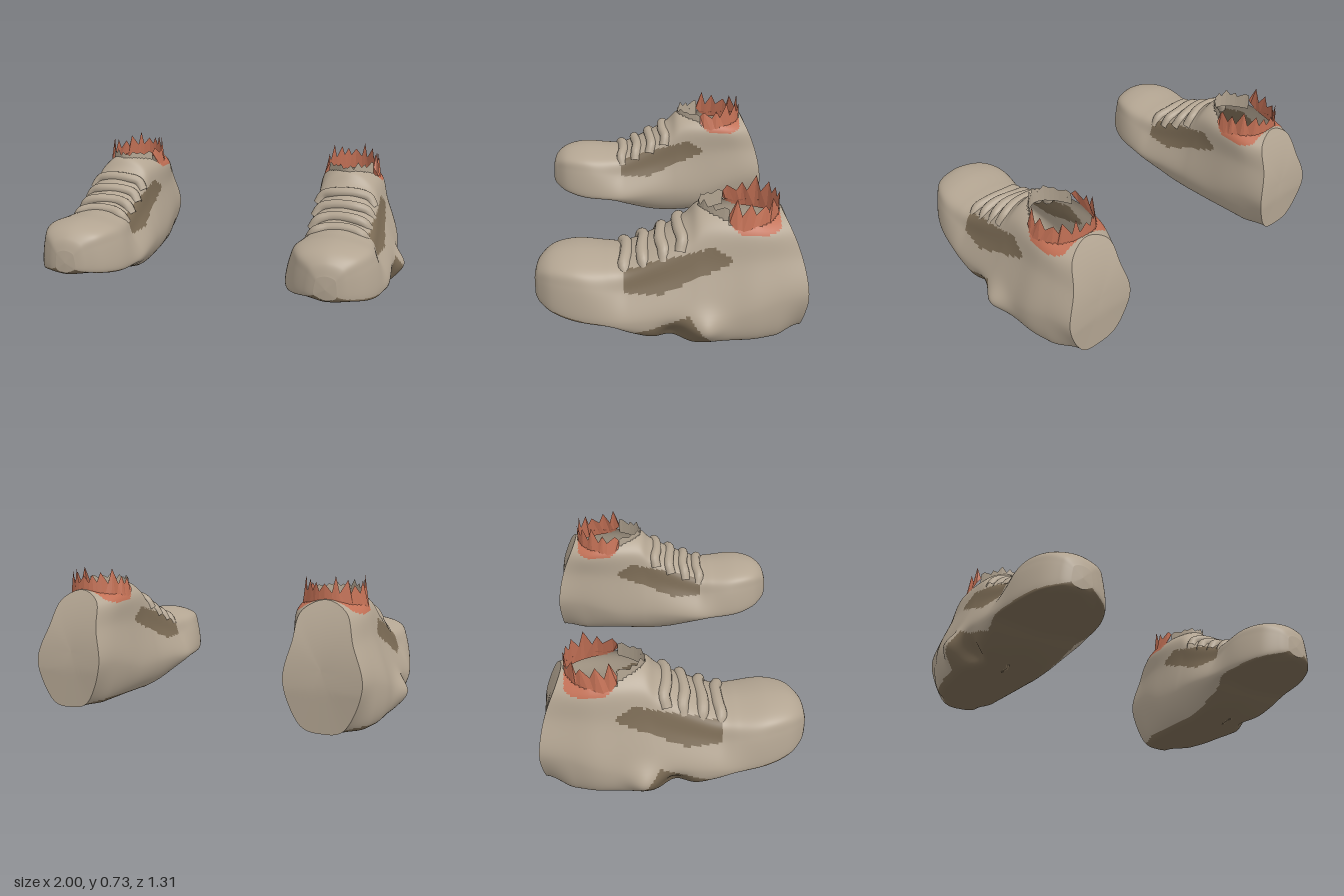
import * as THREE from 'three';

const { lerp, smoothstep } = THREE.MathUtils;

const paint = (name, color) => {
  const m = new THREE.MeshStandardMaterial({ color, side: THREE.DoubleSide });
  m.name = name;
  return m;
};

// Cross-sections from toe to heel:
// z, bottom, top, inner x, outer x, top inner x, top outer x, height of widest point
const SECTIONS = [
  [0.649, 0.19, 0.31, 0.62, 0.73, 0.635, 0.715, 0.22],
  [0.625, 0.175, 0.37, 0.57, 0.78, 0.6, 0.75, 0.21],
  [0.56, 0.16, 0.415, 0.495, 0.85, 0.54, 0.8, 0.19],
  [0.45, 0.14, 0.43, 0.445, 0.9, 0.51, 0.835, 0.17],
  [0.3, 0.12, 0.42, 0.425, 0.93, 0.515, 0.835, 0.16],
  [0.2, 0.075, 0.425, 0.42, 0.94, 0.525, 0.83, 0.16],
  [0.05, 0.03, 0.497, 0.43, 0.945, 0.53, 0.825, 0.17],
  [-0.08, 0.01, 0.58, 0.445, 0.95, 0.53, 0.815, 0.17],
  [-0.15, 0.01, 0.645, 0.45, 0.95, 0.53, 0.805, 0.17],
  [-0.28, 0.01, 0.66, 0.46, 0.945, 0.515, 0.815, 0.17],
  [-0.4, 0.01, 0.65, 0.47, 0.94, 0.51, 0.82, 0.2],
  [-0.52, 0.01, 0.63, 0.485, 0.91, 0.52, 0.81, 0.23],
  [-0.655, 0.003, 0.62, 0.5, 0.88, 0.56, 0.78, 0.24],
];
const STEPS = 16, AROUND = 130, MID = 0.665;

// Smooth interpolation between sections
function sectionAt(u) {
  const last = SECTIONS.length - 1, i = Math.min(Math.floor(u), last - 1), t = u - i;
  const row = k => SECTIONS[Math.max(0, Math.min(last, k))];
  return row(i).map((p1, c) => {
    const p0 = row(i - 1)[c], p2 = row(i + 1)[c], p3 = row(i + 2)[c];
    return p1 + 0.5 * t * (p2 - p0 + t * (2 * p0 - 5 * p1 + 4 * p2 - p3 + t * (3 * (p1 - p2) + p3 - p0)));
  });
}

// Slanted outline of the heel back
const heelZ = y => y < 0.2 ? -0.645 - 0.075 * y : -0.66 + 0.12 * ((y - 0.2) / 0.42) ** 2;

// Lower edge of the lining band around the back of the collar
const bandY = z => Math.min(0.61, 0.55 + 170 * (z + 0.415) ** 4);

const bump = (v, centre, width) => Math.exp(-(((v - centre) / width) ** 2));

function ring([z, b, t, xi, xo, ti, to, m]) {
  const c = (xi + xo) / 2, top = (ti + to) / 2;
  // Full, domed toe; straighter sides behind; rounded heel base
  const toe = smoothstep(z, 0.2, 0.42), heel = smoothstep(-z, 0.5, 0.655);
  const half = (x, tx, edge, lift) => [
    [lerp(c, x, lerp(edge, 0.6, heel)), b + lift + 0.025 * heel], [x, m],
    [lerp(x, tx, 0.57 - 0.27 * toe), lerp(m, t, 0.5 + 0.08 * toe)], [tx, lerp(t, m, 0.15 - 0.02 * toe)],
  ];
  const pts = [[c, b], ...half(xo, to, 0.82, 0.01), [top, t], ...half(xi, ti, 0.68, 0.015).reverse()];
  const curve = new THREE.CatmullRomCurve3(pts.map(([x, y]) => new THREE.Vector3(x, y, z)), true, 'catmullrom', 0.5);
  return Array.from({ length: AROUND }, (_, j) => {
    const p = curve.getPoint(j / AROUND);
    // Torn flap on the outer side of the sole
    if (p.x > 0.75) {
      p.x += 0.047 * bump(p.z, -0.16, 0.075) * bump(p.y, 0.13, 0.07);
      p.x -= 0.07 * bump(p.z, -0.01, 0.07) * bump(p.y, 0.06, 0.07);
    }
    if (p.z < -0.4) p.z = -0.4 + (p.z + 0.4) * (-0.4 - heelZ(p.y)) / 0.255;
    return p;
  });
}

// Skin over rings; pick(centre, row) gives a material slot, or -1 for a hole
function skin(rows, side, pick) {
  const positions = [], slots = [[], [], []];
  rows.forEach(r => r.forEach(p => positions.push(p.x * side, p.y, p.z)));
  for (let i = 0; i < rows.length - 1; i++) {
    for (let j = 0; j < AROUND; j++) {
      const k = (j + 1) % AROUND;
      const centre = rows[i][j].clone().add(rows[i + 1][k]).multiplyScalar(0.5);
      const slot = pick(centre, i);
      if (slot < 0) continue;
      const a = i * AROUND + j, b = i * AROUND + k, c = a + AROUND, d = b + AROUND;
      slots[slot].push(...(side > 0 ? [a, c, b, b, c, d] : [a, b, c, b, d, c]));
    }
  }
  const g = new THREE.BufferGeometry();
  g.setAttribute('position', new THREE.Float32BufferAttribute(positions, 3));
  g.setIndex(slots.flat());
  let start = 0;
  slots.forEach((s, n) => {
    if (s.length) g.addGroup(start, s.length, n);
    start += s.length;
  });
  g.computeVertexNormals();
  return g;
}

// Outline of the foot opening, narrower at the tongue
function opening(a, widen) {
  const narrow = 1 - 0.3 * Math.max(0, Math.cos(a));
  return [MID + 0.147 * widen * Math.sin(a) * narrow, -0.335 + 0.195 * Math.cos(a)];
}

function insideOpening(p) {
  const c = (p.z + 0.335) / 0.195;
  if (Math.abs(c) >= 1 || p.y < 0.4) return false;
  const widen = p.z < -0.27 ? 1.08 : 1;
  return Math.abs(p.x - MID) < 0.147 * widen * Math.sqrt(1 - c * c) * (1 - 0.3 * Math.max(0, c));
}

function isSidePatch({ x, y, z }) {
  if (Math.abs(x - 0.675) < 0.15 || z > 0.22 || z < -0.285) return false;
  const low = 0.288 + 0.42 * Math.max(0, 0.05 - z);
  const high = z > -0.2 ? 0.395 + 0.25 * (0.22 - z) : 0.5 + 0.6 * (z + 0.2);
  return y > low && y < high;
}

// Ragged strip around the opening from angle a0 to a1, leaning in from a wider foot
function raggedRim({ a0, a1, teeth, valley, peak, drop, foot, lean, seed }, side) {
  const rand = () => (seed = (seed * 16807) % 2147483647) / 2147483647;
  const pos = [], n = teeth * 2;
  let prev = null;
  for (let i = 0; i <= n; i++) {
    const shift = i > 0 && i < n ? (rand() - 0.5) * 0.7 : 0;
    const a = a0 + (a1 - a0) * (i + shift) / n;
    const [bx, bz] = opening(a, lean), [x, z] = opening(a, 0.97);
    const y = i % 2 ? peak - drop * rand() : valley + 0.02 * rand();
    const now = [[bx * side, foot(bz), bz], [x * side, y, z]];
    if (prev) pos.push(...prev[0], ...now[0], ...now[1], ...prev[0], ...now[1], ...prev[1]);
    prev = now;
  }
  const g = new THREE.BufferGeometry();
  g.setAttribute('position', new THREE.Float32BufferAttribute(pos, 3));
  g.computeVertexNormals();
  return g;
}

const TONGUE = { a0: -1.25, a1: 1.25, teeth: 8, valley: 0.65, peak: 0.69, drop: 0.03, foot: () => 0.58, lean: 1, seed: 17 };
const LINING = { a0: 1.25, a1: Math.PI * 2 - 1.25, teeth: 11, valley: 0.64, peak: 0.735, drop: 0.06, foot: bandY, lean: 1.14, seed: 9173 };

export function createModel() {
  const leather = paint('taupe leather', 0xb3a592);
  const brown = paint('dark brown', 0x7a6a54);
  const red = paint('rust lining', 0xc27055);
  const model = new THREE.Group();
  model.name = 'pairOfShoes';

  // Shared rings, closed at the toe tip
  const count = (SECTIONS.length - 1) * STEPS;
  const sections = Array.from({ length: count + 1 }, (_, i) => sectionAt(i / STEPS));
  const rows = sections.map(ring);
  rows.unshift(rows[0].map(() => new THREE.Vector3(0.675, 0.245, 0.654)));

  const pickUpper = (p, i) => {
    if (insideOpening(p)) return -1;
    const b = sections[Math.max(0, i - 1)][1], d = p.z + 0.08;
    const flap = p.x > 0.75 ? Math.max(0, 0.165 - (d > 0 ? 0.6 * d : -1.3 * d)) : 0;
    if (p.y < b + 0.022 + (p.z < 0.2 ? flap : 0) || isSidePatch(p)) return 1;
    if (p.z < -0.28 && p.z > -0.525 && p.y > bandY(p.z)) return 2;
    return 0;
  };

  // Heel back: the last ring shrunk towards its centre
  const rim = rows[rows.length - 1];
  const heelRows = Array.from({ length: 11 }, (_, i) => {
    const k = 1 - i / 10;
    return rim.map(p => {
      const y = 0.3 + (p.y - 0.3) * k;
      return new THREE.Vector3(0.68 + (p.x - 0.68) * k, y, heelZ(y) + 0.012 * (1 - k));
    });
  });

  for (const side of [1, -1]) {
    const shoe = new THREE.Group();
    shoe.name = side > 0 ? 'leftShoe' : 'rightShoe';
    const add = (name, geometry, material) => {
      const mesh = new THREE.Mesh(geometry, material);
      mesh.name = name;
      shoe.add(mesh);
    };
    add('upperAndSole', skin(rows, side, pickUpper), [leather, brown, red]);
    add('heelBack', skin(heelRows, side, () => 0), [leather, brown, red]);

    // Lace rows sunk into the instep
    [[0.21, 0.412], [0.125, 0.447], [0.035, 0.49], [-0.05, 0.54]].forEach(([z, y], i) => {
      const path = [[0.52, -0.07], [0.55, -0.02], [0.61, 0], [0.73, 0.002], [0.79, -0.02], [0.82, -0.07]];
      const curve = new THREE.CatmullRomCurve3(path.map(([x, dy], k) =>
        new THREE.Vector3(x * side, y + dy, z + 0.008 * Math.sin(k * 2 + i))));
      add('lace' + (i + 1), new THREE.TubeGeometry(curve, 28, 0.03, 12), leather);
    });

    // Torn collar: tongue in front, lining behind
    add('tongueEdge', raggedRim(TONGUE, side), leather);
    add('liningEdge', raggedRim(LINING, side), red);
    model.add(shoe);
  }
  return model;
}
